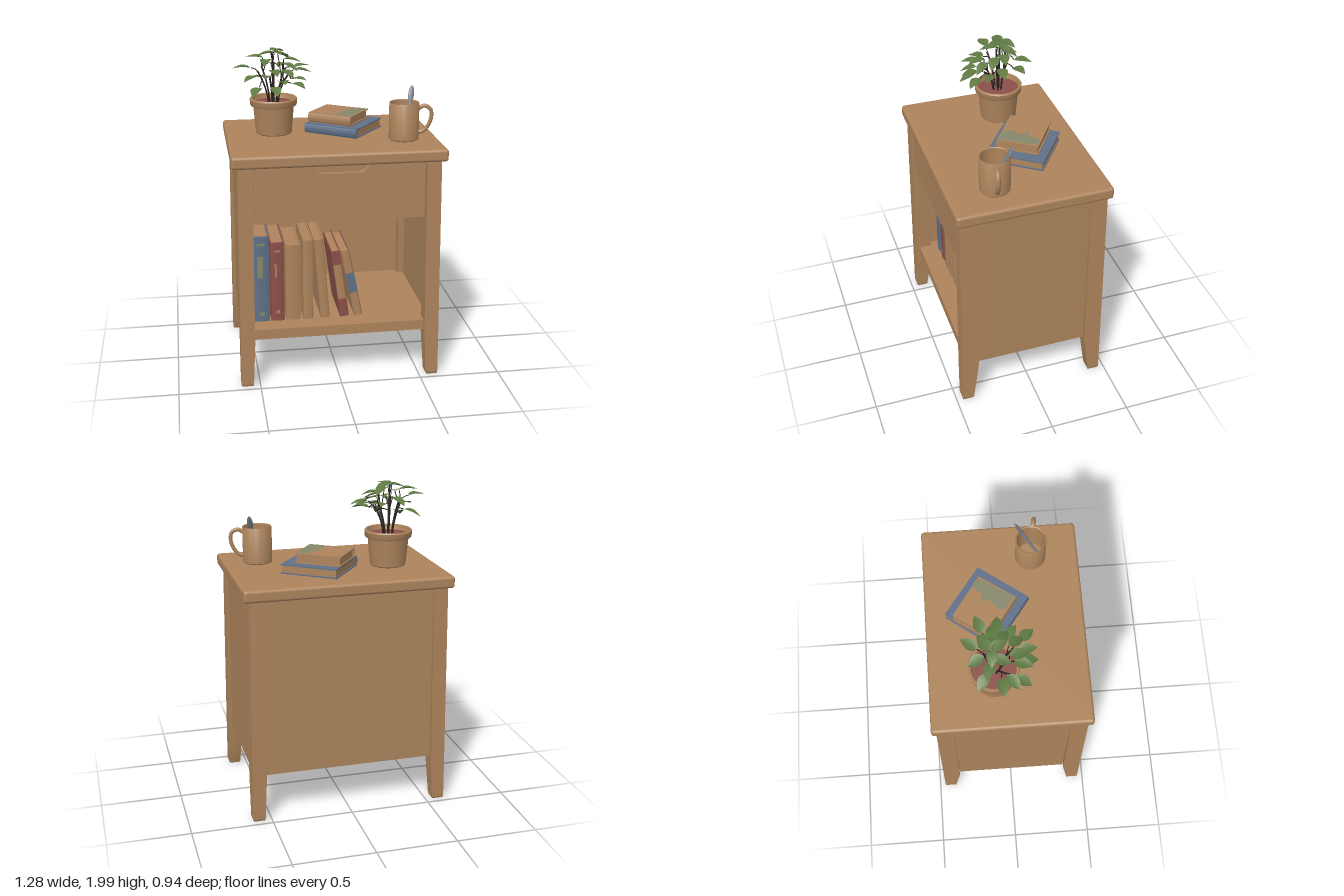
import * as THREE from 'three';
import { toCreasedNormals } from 'three/addons/utils/BufferGeometryUtils.js';
import { RoundedBoxGeometry } from 'three/addons/geometries/RoundedBoxGeometry.js';

const V = (x, y, z) => new THREE.Vector3(x, y, z);
const material = (name, color, side = THREE.FrontSide) => {
  const m = new THREE.MeshStandardMaterial({ color, side });
  m.name = name;
  return m;
};

export function createModel() {
  const wood = material('wood tan', 0xad845c);
  const blue = material('cover blue', 0x5f7089);
  const red = material('cover red', 0x8c504a);
  const sage = material('sage print', 0x85886b);
  const green = material('leaf green', 0x5f7a43, THREE.DoubleSide);
  const stemDark = material('stem dark', 0x2b2320);
  const steel = material('spoon grey', 0x7a818b);

  const model = new THREE.Group();
  const add = (parent, name, geometry, mat, x = 0, y = 0, z = 0) => {
    const mesh = new THREE.Mesh(geometry, mat);
    mesh.name = name;
    mesh.position.set(x, y, z);
    parent.add(mesh);
    return mesh;
  };
  // box given by its limits on each axis
  const box = (parent, name, mat, x0, x1, y0, y1, z0, z1) => add(parent, name,
    new THREE.BoxGeometry(x1 - x0, y1 - y0, z1 - z0), mat, (x0 + x1) / 2, (y0 + y1) / 2, (z0 + z1) / 2);
  const lathe = (parent, name, mat, points, x, y, z) => add(parent, name,
    toCreasedNormals(new THREE.LatheGeometry(points.map(p => new THREE.Vector2(...p)), 40), 0.6), mat, x, y, z);
  const group = (name, parent = model) => {
    const g = new THREE.Group();
    g.name = name;
    parent.add(g);
    return g;
  };

  // ---- table ----
  const table = group('table');
  add(table, 'tableTop', new RoundedBoxGeometry(1.28, 0.075, 0.944, 3, 0.018), wood, 0, 1.4275, 0);

  // legs: straight above, tapering on the inner faces below
  const levels = [ // y, outer x, inner x, outer z, inner z
    [0, 0.612, 0.546, 0.458, 0.394], [0.012, 0.617, 0.541, 0.463, 0.389],
    [0.28, 0.615, 0.527, 0.46, 0.353], [1.4, 0.604, 0.516, 0.447, 0.345]];
  for (const sx of [-1, 1]) for (const sz of [-1, 1]) {
    const g = new THREE.BoxGeometry(1, 3, 1, 1, 3, 1);
    const p = g.attributes.position;
    for (let i = 0; i < p.count; i++) {
      const [y, xo, xi, zo, zi] = levels[Math.round(p.getY(i) + 1.5)];
      p.setXYZ(i, sx * (p.getX(i) * sx > 0 ? xo : xi), y, sz * (p.getZ(i) * sz > 0 ? zo : zi));
    }
    add(table, (sz > 0 ? 'front' : 'back') + (sx > 0 ? 'Left' : 'Right') + 'Leg', toCreasedNormals(g, 0.3), wood);
  }
  for (const s of [-1, 1]) {
    box(table, 'sidePanel', wood, s * 0.58 - 0.013, s * 0.58 + 0.013, 0.29, 1.4, -0.35, 0.347);
  }
  box(table, 'backPanel', wood, -0.53, 0.53, 0.29, 1.4, -0.43, -0.405);
  box(table, 'shelf', wood, -0.565, 0.565, 0.298, 0.362, -0.405, 0.345);
  box(table, 'shelfFront', wood, -0.53, 0.53, 0.298, 0.362, 0.345, 0.43);

  // drawer front with a finger notch cut from its top edge
  const front = new THREE.Shape();
  [[-0.51, 1.042], [0.51, 1.042], [0.51, 1.388], [0.185, 1.388]].forEach(([x, y], i) =>
    i ? front.lineTo(x, y) : front.moveTo(x, y));
  front.lineTo(0.15, 1.352);
  front.quadraticCurveTo(0.134, 1.336, 0.11, 1.336);
  front.lineTo(-0.11, 1.336);
  front.quadraticCurveTo(-0.134, 1.336, -0.15, 1.352);
  front.lineTo(-0.185, 1.388);
  front.lineTo(-0.51, 1.388);
  add(table, 'drawerFront', new THREE.ExtrudeGeometry(front, { depth: 0.03, bevelEnabled: false, curveSegments: 6 }),
    wood, 0, 0, 0.4);
  box(table, 'drawerBox', wood, -0.56, 0.56, 1.045, 1.395, -0.4, 0.34);
  box(table, 'drawerFrame', wood, -0.52, 0.52, 1.045, 1.395, 0.34, 0.4);

  // ---- books: centred, thickness on x, height on y, spine towards +z ----
  const makeBook = (name, w, h, d, left, right = left, spine = left) => {
    const g = group(name);
    const t = 0.007;
    box(g, 'leftCover', left, -w / 2, -w / 2 + t, -h / 2, h / 2, -d / 2, d / 2 - 0.006);
    box(g, 'rightCover', right, w / 2 - t, w / 2, -h / 2, h / 2, -d / 2, d / 2 - 0.006);
    box(g, 'pages', wood, -w / 2 + t, w / 2 - t, -h / 2 + 0.008, h / 2 - 0.008, -d / 2 + 0.008, d / 2 - 0.01);
    // gently rounded spine
    const s = new THREE.Shape();
    s.moveTo(-w / 2, 0);
    s.lineTo(w / 2, 0);
    s.quadraticCurveTo(w / 2, -0.012, 0, -0.013);
    s.quadraticCurveTo(-w / 2, -0.012, -w / 2, 0);
    const sg = new THREE.ExtrudeGeometry(s, { depth: h, bevelEnabled: false, curveSegments: 5 });
    sg.rotateX(-Math.PI / 2);
    add(g, 'spine', toCreasedNormals(sg, 0.6), spine, 0, -h / 2, d / 2 - 0.012);
    return g;
  };
  // thin plate on the spine, heights measured from the bottom of the book
  const spinePlate = (g, mat, w, y0, y1, h, d, x = 0) =>
    box(g, 'spinePrint', mat, x - w / 2, x + w / 2, y0 - h / 2, y1 - h / 2, d / 2 - 0.004, d / 2 + 0.003);

  const D = 0.36;
  const row = [ // left edge at the bottom, thickness, height, lean, left cover, right cover, spine, prints
    ['blueBook', -0.52, 0.1, 0.558, 0, blue, blue, blue,
      [[sage, 0.035, 0.29, 0.43, -0.006], [sage, 0.05, 0.5, 0.515, 0], [sage, 0.035, 0.04, 0.06, 0]]],
    ['redBook', -0.412, 0.083, 0.515, 0, red, red, red,
      [[wood, 0.012, 0.29, 0.38, -0.01], [wood, 0.04, 0.455, 0.465, 0], [wood, 0.02, 0.05, 0.07, 0]]],
    ['wideTanBook', -0.318, 0.09, 0.495, 0, wood, wood, wood, []],
    ['narrowTanBook', -0.212, 0.062, 0.52, 0, wood, wood, wood, []],
    ['leaningTanBook', -0.102, 0.058, 0.522, 0.08, wood, wood, wood, []],
    ['leaningRedBook', 0.02, 0.056, 0.445, 0.135, red, red, wood,
      [[red, 0.054, 0.002, 0.12, 0], [red, 0.054, 0.35, 0.443, 0]]],
    ['leaningStripedBook', 0.11, 0.052, 0.445, 0.2, wood, red, wood, [[blue, 0.05, 0.16, 0.29, 0]]],
  ];
  for (const [name, x, w, h, lean, left, right, spine, prints] of row) {
    const g = makeBook(name, w, h, D, left, right, spine);
    const c = V(w / 2, h / 2, 0).applyAxisAngle(V(0, 0, 1), lean);
    g.position.set(x + c.x, 0.362 + c.y, 0.13);
    g.rotation.z = lean;
    prints.forEach(([m, pw, y0, y1, px]) => spinePlate(g, m, pw, y0, y1, h, D, px));
    if (name === 'leaningStripedBook') {
      box(g, 'coverStripe', blue, w / 2 - 0.002, w / 2 + 0.002, -0.07, 0.06, 0.12, D / 2 - 0.006);
      box(g, 'coverCorner', blue, w / 2 - 0.002, w / 2 + 0.002, -0.215, -0.17, -0.17, -0.04);
    }
  }

  // two books lying on the table top
  const lower = makeBook('lowerLyingBook', 0.058, 0.358, 0.36, blue);
  lower.position.set(0.1, 1.494, -0.1);
  lower.rotation.set(0, -0.635, Math.PI / 2);
  const upper = makeBook('upperLyingBook', 0.06, 0.292, 0.26, wood);
  upper.position.set(0.07, 1.554, -0.115);
  upper.rotation.set(0, -0.61, Math.PI / 2);
  const print = new THREE.Shape([[0.087, -0.154], [0.105, -0.135], [0.13, -0.129], [0.16, -0.133], [0.176, -0.158],
    [0.198, -0.176], [0.25, -0.14], [0.12, 0.062], [0.043, 0.007], [0.046, -0.041], [0.087, -0.065],
    [0.111, -0.086], [0.108, -0.113]].map(([x, z]) => new THREE.Vector2(x, -z)));
  add(model, 'coverPrint', new THREE.ShapeGeometry(print).rotateX(-Math.PI / 2), sage, 0, 1.5865, 0);

  // ---- mug with handle and spoon ----
  const mug = group('mug');
  mug.position.set(0.427, 1.465, 0.183);
  lathe(mug, 'mugBody', wood, [[0, 0], [0.086, 0], [0.091, 0.006], [0.091, 0.222], [0.088, 0.228], [0.083, 0.224],
    [0.083, 0.014], [0, 0.012]], 0, 0, 0);
  const handlePath = new THREE.CatmullRomCurve3([V(0.085, 0.19, 0), V(0.12, 0.208, 0), V(0.157, 0.188, 0),
    V(0.164, 0.14, 0), V(0.145, 0.085, 0), V(0.115, 0.052, 0), V(0.085, 0.042, 0)]);
  const handle = add(mug, 'mugHandle', new THREE.TubeGeometry(handlePath, 28, 0.012, 10), wood);
  handle.rotation.y = -0.19;
  handle.scale.z = 1.15;
  const spoon = group('spoon', mug);
  spoon.position.set(0.005, 0.03, 0.045);
  spoon.quaternion.setFromUnitVectors(V(0, 1, 0), V(0.063, 0.285, -0.14).normalize());
  add(spoon, 'spoonStem', new THREE.CylinderGeometry(0.011, 0.007, 0.27, 10), steel, 0, 0.135, 0);
  add(spoon, 'spoonEnd', new THREE.SphereGeometry(1, 16, 10), steel, 0, 0.262, 0).scale.set(0.018, 0.055, 0.008);

  // ---- potted plant ----
  const plant = group('pottedPlant');
  plant.position.set(-0.34, 1.465, -0.088);
  lathe(plant, 'pot', wood, [[0, 0], [0.106, 0], [0.111, 0.006], [0.126, 0.175], [0.14, 0.177], [0.144, 0.183],
    [0.147, 0.216], [0.142, 0.224], [0.132, 0.222], [0.126, 0.19], [0.11, 0.16]], 0, 0, 0);
  add(plant, 'soil', new THREE.CylinderGeometry(0.126, 0.115, 0.03, 32), red, 0, 0.178, 0);

  // leaf: pointed oval, folded along the middle and drooping to the tip
  const leaf = new THREE.PlaneGeometry(1, 1, 2, 8);
  const lp = leaf.attributes.position;
  for (let i = 0; i < lp.count; i++) {
    const u = lp.getX(i) * 2, v = 0.5 - lp.getY(i);
    const half = 0.034 * Math.sin(Math.PI * Math.pow(v, 0.8));
    lp.setXYZ(i, u * half, Math.abs(u) * half * 0.3 - 0.025 * v * v, v * 0.11);
  }
  leaf.computeVertexNormals();

  // each stem: top point, then the leaf centres it carries, relative to the soil centre
  const stems = [
    [[-0.1, 0.4, 0.04], [[-0.19, 0.43, 0.04], [-0.145, 0.37, 0.1], [-0.12, 0.3, 0.16]]],
    [[-0.07, 0.42, -0.01], [[-0.11, 0.48, -0.03], [-0.05, 0.46, 0.045], [-0.13, 0.34, -0.07]]],
    [[0.01, 0.43, -0.06], [[0.075, 0.41, -0.13], [0.03, 0.515, -0.05], [-0.03, 0.42, -0.1]]],
    [[0.08, 0.4, -0.03], [[0.185, 0.41, -0.07], [0.12, 0.46, 0.0], [0.07, 0.48, -0.05]]],
    [[0.09, 0.37, 0.04], [[0.145, 0.36, 0.1], [0.18, 0.4, 0.03], [0.1, 0.43, 0.06]]],
    [[0.05, 0.35, 0.11], [[0.045, 0.36, 0.19], [0.135, 0.34, 0.19], [0.08, 0.4, 0.13]]],
    [[-0.03, 0.37, 0.1], [[-0.05, 0.39, 0.16], [0.0, 0.41, 0.14], [0.0, 0.31, 0.2]]],
    [[0.0, 0.47, -0.01], [[0.02, 0.51, 0.03], [-0.045, 0.5, -0.01], [0.05, 0.5, -0.02]]],
  ];
  for (const [top, leaves] of stems) {
    const end = V(...top);
    const path = new THREE.QuadraticBezierCurve3(V(end.x * 0.3, 0.18, end.z * 0.3),
      V(end.x * 0.4, 0.3, end.z * 0.4), end);
    add(plant, 'stem', new THREE.TubeGeometry(path, 10, 0.0055, 6), stemDark);
    leaves.forEach((c, i) => {
      const centre = V(...c);
      const start = path.getPoint(1 - i * 0.15);
      const out = V(centre.x - start.x * 0.6, 0, centre.z - start.z * 0.6).normalize();
      out.y = 0.25 - i * 0.2;
      out.normalize();
      const base = centre.clone().addScaledVector(out, -0.055);
      const stalk = new THREE.QuadraticBezierCurve3(start, start.clone().lerp(base, 0.5).add(V(0, 0.008, 0)), base);
      add(plant, 'leafStalk', new THREE.TubeGeometry(stalk, 5, 0.003, 5), stemDark);
      const mesh = add(plant, 'leaf', leaf, green, base.x, base.y, base.z);
      mesh.quaternion.setFromRotationMatrix(new THREE.Matrix4().lookAt(out, V(0, 0, 0), V(0, 1, 0)));
    });
  }
  return model;
}
